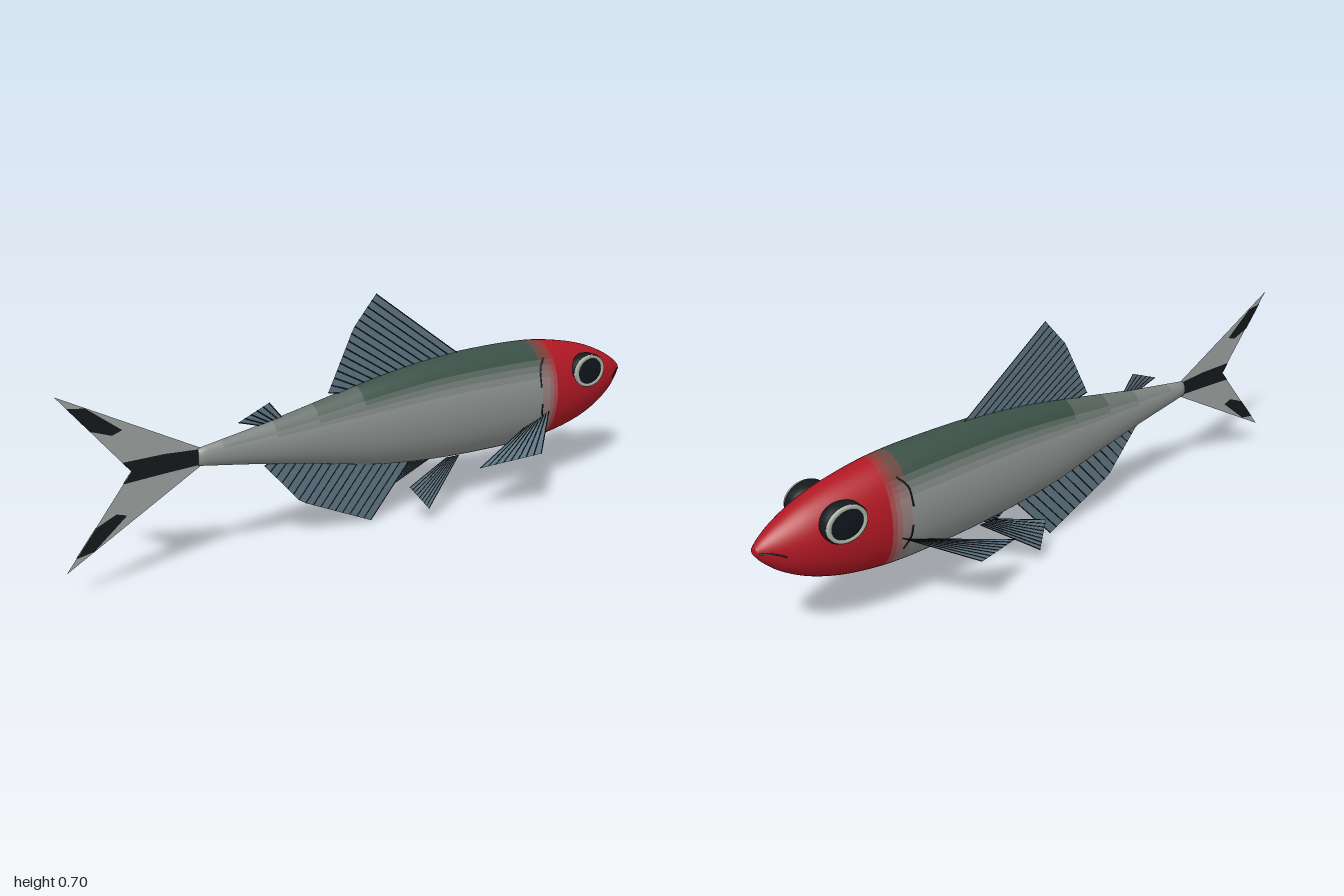
import * as THREE from 'three';

// Body profile: x, top y, bottom y, half width
const PROFILE = [
  [-0.6, 0.345, 0.295, 0.015], [-0.4, 0.375, 0.26, 0.034], [-0.2, 0.41, 0.22, 0.054],
  [0, 0.448, 0.178, 0.075], [0.2, 0.473, 0.155, 0.091], [0.4, 0.48, 0.145, 0.101],
  [0.6, 0.474, 0.146, 0.105], [0.75, 0.45, 0.168, 0.097], [0.85, 0.422, 0.2, 0.08],
  [0.93, 0.386, 0.244, 0.054], [0.98, 0.355, 0.288, 0.028], [1, 0.337, 0.314, 0.013],
];

// Smooth interpolation of the profile at x
function section(x) {
  const last = PROFILE.length - 1;
  let i = 0;
  while (i < last - 1 && x > PROFILE[i + 1][0]) i++;
  const slope = (k, c) => {
    const a = PROFILE[Math.max(k - 1, 0)], b = PROFILE[Math.min(k + 1, last)];
    return (b[c] - a[c]) / (b[0] - a[0]);
  };
  const p = PROFILE[i], q = PROFILE[i + 1], d = q[0] - p[0], t = (x - p[0]) / d;
  const [top, bottom, w] = [1, 2, 3].map((c) =>
    (2 * t ** 3 - 3 * t * t + 1) * p[c] + (t ** 3 - 2 * t * t + t) * d * slope(i, c) +
    (3 * t * t - 2 * t ** 3) * q[c] + (t ** 3 - t * t) * d * slope(i + 1, c));
  return { c: (top + bottom) / 2, h: (top - bottom) / 2, w };
}

// Point on the left flank at x, y
function onSkin(x, y, lift = 0.001) {
  const { c, h, w } = section(x);
  return new THREE.Vector3(x, y, w * Math.sqrt(Math.max(0, 1 - ((y - c) / h) ** 2)) + lift);
}

const material = (color, side = THREE.FrontSide) => new THREE.MeshStandardMaterial({ color, side });
const finMaterial = material(0x5f7583, THREE.DoubleSide);
const darkMaterial = material(0x14191c, THREE.DoubleSide);

function add(parent, name, geometry, mat) {
  const mesh = new THREE.Mesh(geometry, mat);
  mesh.name = name;
  parent.add(mesh);
  return mesh;
}

// Lofted body, its skin divided into colour bands: red head, dark back, grey flanks
function createBody() {
  const RINGS = 96, SIDES = 48, pos = [], index = [], bands = new Map();
  const ringX = (i) => -0.6 + 1.6 * (1 - (1 - Math.min(Math.max(i - 1, 0) / (RINGS - 3), 1)) ** 1.4);
  for (let i = 0; i < RINGS; i++) {
    const x = ringX(i), { c, h, w } = section(x);
    const s = i === 0 || i === RINGS - 1 ? 0 : 1;
    for (let j = 0; j < SIDES; j++) {
      const a = (j / SIDES) * Math.PI * 2;
      pos.push(x, c + s * h * Math.cos(a), s * w * Math.sin(a));
    }
  }
  const step = (v, from, to) => Math.round(THREE.MathUtils.smoothstep(v, from, to) * 4) / 4;
  for (let i = 0; i < RINGS - 1; i++) {
    const x = (ringX(i) + ringX(i + 1)) / 2;
    for (let j = 0; j < SIDES; j++) {
      const k = (j + 1) % SIDES;
      const a = i * SIDES + j, b = i * SIDES + k, c = a + SIDES, d = b + SIDES;
      const quad = [a, b, c, b, d, c];
      index.push(...quad);
      const angle = Math.acos(Math.cos(((j + 0.5) / SIDES) * Math.PI * 2));
      const red = step(x, 0.56, 0.66);
      const dark = red === 1 ? 0 : step(1.3 - angle, 0, 0.7) * step(x, -0.7, 0.1);
      const color = new THREE.Color(0x8b908d)
        .lerp(new THREE.Color(0x3a5046), Math.round(dark * 4) / 4)
        .lerp(new THREE.Color(0xb01824), red).getHex();
      if (!bands.has(color)) bands.set(color, []);
      bands.get(color).push(...quad);
    }
  }
  const skin = new THREE.BufferGeometry();
  skin.setAttribute('position', new THREE.Float32BufferAttribute(pos, 3));
  skin.setIndex(index);
  skin.computeVertexNormals();
  const body = new THREE.Group();
  body.name = 'body';
  for (const [color, faces] of bands) {
    const geometry = skin.clone();
    geometry.setIndex(faces);
    add(body, 'skinBand', geometry, material(color));
  }
  return body;
}

// Fan-shaped fin between a root line and an outer edge, stiffened by thin rays
function createFin(name, root, edge, rays) {
  const line = (pts) => {
    const path = new THREE.CurvePath();
    const v = pts.map(([x, y, z = 0]) => new THREE.Vector3(x, y, z));
    for (let i = 1; i < v.length; i++) path.add(new THREE.LineCurve3(v[i - 1], v[i]));
    return path;
  };
  const a = line(root), b = line(edge), pos = [], index = [];
  const fin = new THREE.Group();
  fin.name = name;
  for (let i = 0; i <= rays; i++) {
    const p = a.getPoint(i / rays), q = b.getPoint(i / rays);
    pos.push(...p, ...q);
    if (i < rays) index.push(2 * i, 2 * i + 1, 2 * i + 2, 2 * i + 1, 2 * i + 3, 2 * i + 2);
    add(fin, 'finRay', new THREE.TubeGeometry(new THREE.LineCurve3(p, q), 1, 0.0015, 4), darkMaterial);
  }
  const web = new THREE.BufferGeometry();
  web.setAttribute('position', new THREE.Float32BufferAttribute(pos, 3));
  web.setIndex(index);
  web.computeVertexNormals();
  add(fin, 'finWeb', web, finMaterial);
  return fin;
}

// Forked tail with dark centre and lobe patches
function createTail() {
  const tail = new THREE.Group();
  tail.name = 'tailFin';
  const flat = (pts) => new THREE.ShapeGeometry(new THREE.Shape(pts.map(([x, y]) => new THREE.Vector2(x, y))));
  add(tail, 'tailWeb', flat([[-0.59, 0.345], [-1, 0.56], [-0.8, 0.32], [-1, 0.075], [-0.59, 0.295]]),
    material(0x9ba09e, THREE.DoubleSide));
  const patches = [
    [[-0.59, 0.342], [-0.7, 0.35], [-0.825, 0.35], [-0.8, 0.32], [-0.825, 0.29], [-0.7, 0.295], [-0.59, 0.298]],
    [[-0.97, 0.524], [-0.92, 0.517], [-0.82, 0.44], [-0.85, 0.43], [-0.91, 0.452]],
    [[-0.97, 0.112], [-0.92, 0.12], [-0.82, 0.2], [-0.85, 0.21], [-0.91, 0.185]],
  ];
  for (const pts of patches)
    for (const z of [-0.002, 0.002]) add(tail, 'tailPatch', flat(pts), darkMaterial).position.z = z;
  return tail;
}

// Parts of one flank (left side, +z)
function createSide() {
  const side = new THREE.Group();
  side.name = 'sideParts';

  const eye = new THREE.Group();
  eye.name = 'eye';
  eye.position.set(0.78, 0.365, 0);
  eye.scale.set(1, 0.83, 1);
  const ring = (pts) => new THREE.LatheGeometry(
    pts.map(([r, z]) => new THREE.Vector2(r, z)), 40).rotateX(Math.PI / 2);
  add(eye, 'eyeSocket', ring([[0.06, 0.055], [0.067, 0.07], [0.067, 0.094], [0.06, 0.096]]), darkMaterial);
  add(eye, 'eyeRim', ring([[0.063, 0.092], [0.063, 0.103], [0.06, 0.105], [0.051, 0.105], [0.05, 0.1]]),
    material(0xa9b3a6, THREE.DoubleSide));
  add(eye, 'pupil', ring([[0.051, 0.101], [0.03, 0.104], [0, 0.105]]), material(0x10161c, THREE.DoubleSide));
  side.add(eye);

  // Gill, fin-base and mouth creases
  const creases = {
    gillCrease: [[0.6, 0.43], [0.575, 0.4], [0.57, 0.345]],
    finCrease: [[0.575, 0.29], [0.58, 0.255], [0.6, 0.22]],
    mouth: [[0.995, 0.324], [0.97, 0.323], [0.935, 0.308]],
  };
  for (const [name, pts] of Object.entries(creases)) {
    const curve = new THREE.CatmullRomCurve3(pts.map(([x, y]) => onSkin(x, y)));
    add(side, name, new THREE.TubeGeometry(curve, 12, 0.0025, 6), darkMaterial);
  }

  side.add(createFin('pectoralFin', [[0.61, 0.26, 0.098], [0.55, 0.225, 0.075]],
    [[0.45, 0.187, 0.241], [0.27, 0.155, 0.166]], 8));
  side.add(createFin('pelvicFin', [[0.29, 0.158, 0.038], [0.24, 0.16, 0.04]],
    [[0.12, 0.04, 0.108], [0.07, 0.11, 0.078]], 8));
  return side;
}

export function createModel() {
  const model = new THREE.Group();
  model.name = 'fish';
  model.add(createBody(), createTail());

  // Fins on the centre line
  model.add(createFin('dorsalFin', [[0.31, 0.475], [-0.12, 0.42]], [[0, 0.7], [-0.08, 0.61], [-0.17, 0.43]], 14));
  model.add(createFin('adiposeFin', [[-0.33, 0.386], [-0.4, 0.373]], [[-0.37, 0.435], [-0.47, 0.395]], 5));
  model.add(createFin('analFin', [[0.13, 0.168], [-0.38, 0.255]], [[-0.02, 0], [-0.27, 0.115], [-0.39, 0.25]], 16));

  // Left and right flanks
  const left = createSide();
  const right = createSide();
  right.scale.z = -1;
  model.add(left, right);
  return model;
}
